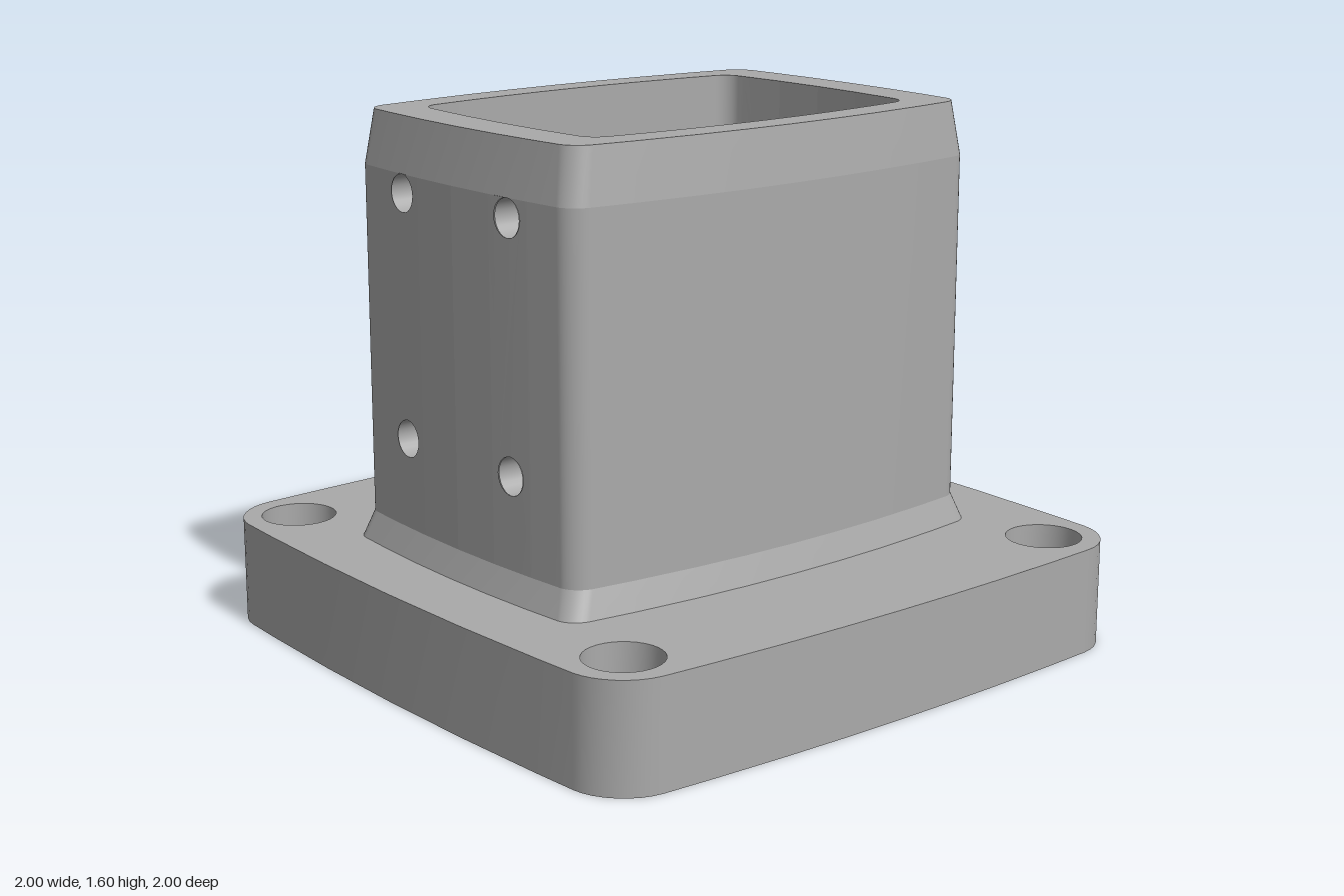
import * as THREE from 'three';

const BREAKS = [-0.33, -0.17, 0, 0.17, 0.33]; // columns of the drilled walls
const HOLE_X = 0.25, HOLE_R = 0.055, BOLT = 0.8, BOLT_R = 0.07, BORE_R = 0.113;

// Rounded rectangle with outward-bowed sides, as [x, z] points
function ring(hw, hd, bx, bz, r, k = 1) {
  const pts = [], S = 8;
  const xs = BREAKS.map(b => b * k / (1 - bx));
  const zs = [0.8, 0.5, 0.25, 0, -0.25, -0.5, -0.8].map(t => t * (hd - r));
  const corner = (sx, sz, a0) => {
    for (let i = 0; i <= S; i++) {
      const a = a0 - i / S * Math.PI / 2;
      pts.push([sx * (hw - r) + r * Math.cos(a), sz * (hd - r) + r * Math.sin(a)]);
    }
  };
  xs.forEach(x => pts.push([x, hd]));
  corner(1, 1, Math.PI / 2);
  zs.forEach(z => pts.push([hw, z]));
  corner(1, -1, 0);
  xs.forEach(x => pts.push([-x, -hd]));
  corner(-1, -1, -Math.PI / 2);
  zs.forEach(z => pts.push([-hw, -z]));
  corner(-1, 1, -Math.PI);
  return pts.map(([x, z]) => [x * (1 - bx * (z / hd) ** 2), z * (1 - bz * (x / hw) ** 2)]);
}

// Square path that curves inward around the four bolts
function sealPath(h, R, f) {
  const quad = [], dx = BOLT - (h - f), dz = Math.sqrt((R + f) ** 2 - dx * dx);
  const a = Math.atan2(dz, dx), half = Math.PI / 2;
  const arc = (cx, cz, r, a0, a1, n, first) => {
    for (let i = first; i <= n; i++) {
      const t = a0 + (a1 - a0) * i / n;
      quad.push([cx + r * Math.cos(t), cz + r * Math.sin(t)]);
    }
  };
  quad.push([h, -0.2], [h, 0], [h, 0.2]);
  arc(h - f, BOLT - dz, f, 0, a, 6, 0);
  arc(BOLT, BOLT, R, Math.PI + a, Math.PI + half - a, 12, 1);
  arc(BOLT - dz, h - f, f, half - a, half, 6, 1);
  const pts = [];
  for (let q = 0; q < 4; q++) {
    const c = [1, 0, -1, 0][q], s = [0, 1, 0, -1][q];
    quad.forEach(([x, z]) => pts.push([x * c - z * s, x * s + z * c]));
  }
  return pts.map(([x, z]) => [x * (1.015 - 0.025 * z * z), z * (1.015 - 0.025 * x * x)]);
}

function circle(cx, cz, r, n = 32) {
  return Array.from({ length: n }, (_, i) => {
    const a = i / n * Math.PI * 2;
    return [cx + r * Math.cos(a), cz + r * Math.sin(a)];
  });
}

// Wall between two rings; drilled leaves room for the panels with holes
function band(r0, y0, r1, y1, inward = false, drilled = false) {
  const n = r0.length, pos = [], idx = [];
  r0.forEach(([x, z]) => pos.push(x, y0, z));
  r1.forEach(([x, z]) => pos.push(x, y1, z));
  for (let i = 0; i < n; i++) {
    const j = (i + 1) % n;
    if (drilled && Math.abs(r0[i][0]) < 0.331 && Math.abs(r0[j][0]) < 0.331) continue;
    if (inward) idx.push(i, n + j, j, i, n + i, n + j);
    else idx.push(i, j, n + j, i, n + j, n + i);
  }
  const g = new THREE.BufferGeometry();
  g.setAttribute('position', new THREE.Float32BufferAttribute(pos, 3));
  g.setIndex(idx);
  g.computeVertexNormals();
  return g;
}

// Flat horizontal face with openings
function plate(outer, holes, y) {
  const v = pts => pts.map(([x, z]) => new THREE.Vector2(x, -z));
  const s = new THREE.Shape(v(outer));
  holes.forEach(h => s.holes.push(new THREE.Path(v(h))));
  return new THREE.ShapeGeometry(s).rotateX(-Math.PI / 2).translate(0, y, 0);
}

export function createModel() {
  const model = new THREE.Group();
  model.name = 'flangedSocket';
  const grey = new THREE.MeshStandardMaterial({ color: 0xaaaaaa, side: THREE.DoubleSide });
  grey.name = 'grey';
  const add = (name, geo, parent = model) => {
    const m = new THREE.Mesh(geo, grey);
    m.name = name;
    parent.add(m);
    return m;
  };

  const BX = 0.1, BZ = 0.035;
  const tower = (hw, hd, r = 0.06, k = 1) => ring(hw, hd, BX, BZ, r, k);
  const base = ring(1, 1, 0.04, 0.04, 0.16, 2);
  const flare = tower(0.585, 0.79), body = tower(0.56, 0.76), rim = tower(0.54, 0.735);
  const bore = tower(0.44, 0.6, 0.05), opening = tower(0.32, 0.48, 0.05, 0.7);
  const bolts = [[1, 1], [1, -1], [-1, 1], [-1, -1]].map(([x, z]) => [x * BOLT, z * BOLT]);
  const boltCircles = r => bolts.map(([x, z]) => circle(x, z, r));

  // Flange
  add('flangeSide', band(base, 0, base, 0.32));
  add('flangeTop', plate(base, [flare, ...boltCircles(BORE_R)], 0.32));

  // Counterbored bolt holes
  bolts.forEach(([x, z]) => {
    const wide = circle(x, z, BORE_R), narrow = circle(x, z, BOLT_R);
    add('counterbore', band(wide, 0.16, wide, 0.32));
    add('counterboreFloor', plate(wide, [narrow], 0.16));
    add('boltHole', band(narrow, 0, narrow, 0.16));
  });

  // Underside: outer rim, seal groove, inner lip and sloped cavity
  const grooveOut = sealPath(0.89, 0.19, 0.12), grooveIn = sealPath(0.84, 0.24, 0.07);
  const lip = sealPath(0.77, 0.31, 0.05);
  const slopeEdge = ring(0.785, 0.785, 0.025, 0.025, 0.2), ledge = tower(0.42, 0.58, 0.05);
  add('flangeBottom', plate(base, [grooveOut, ...boltCircles(BOLT_R)], 0));
  add('grooveOuterWall', band(grooveOut, 0, grooveOut, 0.045));
  add('grooveInnerWall', band(grooveIn, 0, grooveIn, 0.045));
  add('grooveFloor', plate(grooveOut, [grooveIn], 0.045));
  add('innerLip', plate(grooveIn, [lip], 0));
  add('cavityWall', band(lip, 0, lip, 0.12));
  add('cavitySlope', band(slopeEdge, 0.015, ledge, 0.145, true));
  add('cavityCeiling', plate(ledge, [opening], 0.145));

  // Tower shell
  add('towerFlare', band(flare, 0.32, body, 0.4));
  add('towerWall', band(body, 0.4, body, 1.44, false, true));
  add('towerTaper', band(body, 1.44, rim, 1.6));
  add('towerRim', plate(rim, [bore], 1.6));
  add('towerBore', band(bore, 0.4, bore, 1.6, true, true));
  add('innerLedge', plate(bore, [opening], 0.4));
  add('ledgeOpening', band(opening, 0.145, opening, 0.4, true));

  // Drilled front and back panels, following the bowed wall
  const depthAt = (x, hw, hd) => hd * (1 - BZ * (x / (1 - BX) / hw) ** 2);
  const panel = (name, hw, hd, y0, y1, holeYs, parent) => {
    for (let i = 0; i < BREAKS.length - 1; i++) {
      const a = BREAKS[i], b = BREAKS[i + 1];
      const s = new THREE.Shape([[a, y0], [b, y0], [b, y1], [a, y1]].map(p => new THREE.Vector2(...p)));
      [-HOLE_X, HOLE_X].filter(x => x > a && x < b).forEach(x => holeYs.forEach(y =>
        s.holes.push(new THREE.Path(circle(x, y, HOLE_R, 24).map(p => new THREE.Vector2(...p))))));
      const g = new THREE.ShapeGeometry(s), p = g.attributes.position;
      for (let j = 0; j < p.count; j++) p.setZ(j, depthAt(p.getX(j), hw, hd));
      g.computeVertexNormals();
      add(name, g, parent);
    }
  };
  const drilledSide = (name, holeYs) => {
    const side = new THREE.Group();
    side.name = name;
    panel('outerPanel', 0.56, 0.76, 0.4, 1.44, holeYs, side);
    panel('innerPanel', 0.44, 0.6, 0.4, 1.6, holeYs, side);
    const z0 = depthAt(HOLE_X, 0.44, 0.6), z1 = depthAt(HOLE_X, 0.56, 0.76);
    holeYs.forEach(y => [-HOLE_X, HOLE_X].forEach(x => {
      const g = new THREE.CylinderGeometry(HOLE_R, HOLE_R, z1 - z0, 24, 1, true);
      add('screwHole', g.rotateX(Math.PI / 2).translate(x, y, (z0 + z1) / 2), side);
    }));
    model.add(side);
    return side;
  };
  drilledSide('frontWall', [0.67, 1.385]);
  drilledSide('backWall', [1.12]).rotation.y = Math.PI;

  return model;
}
